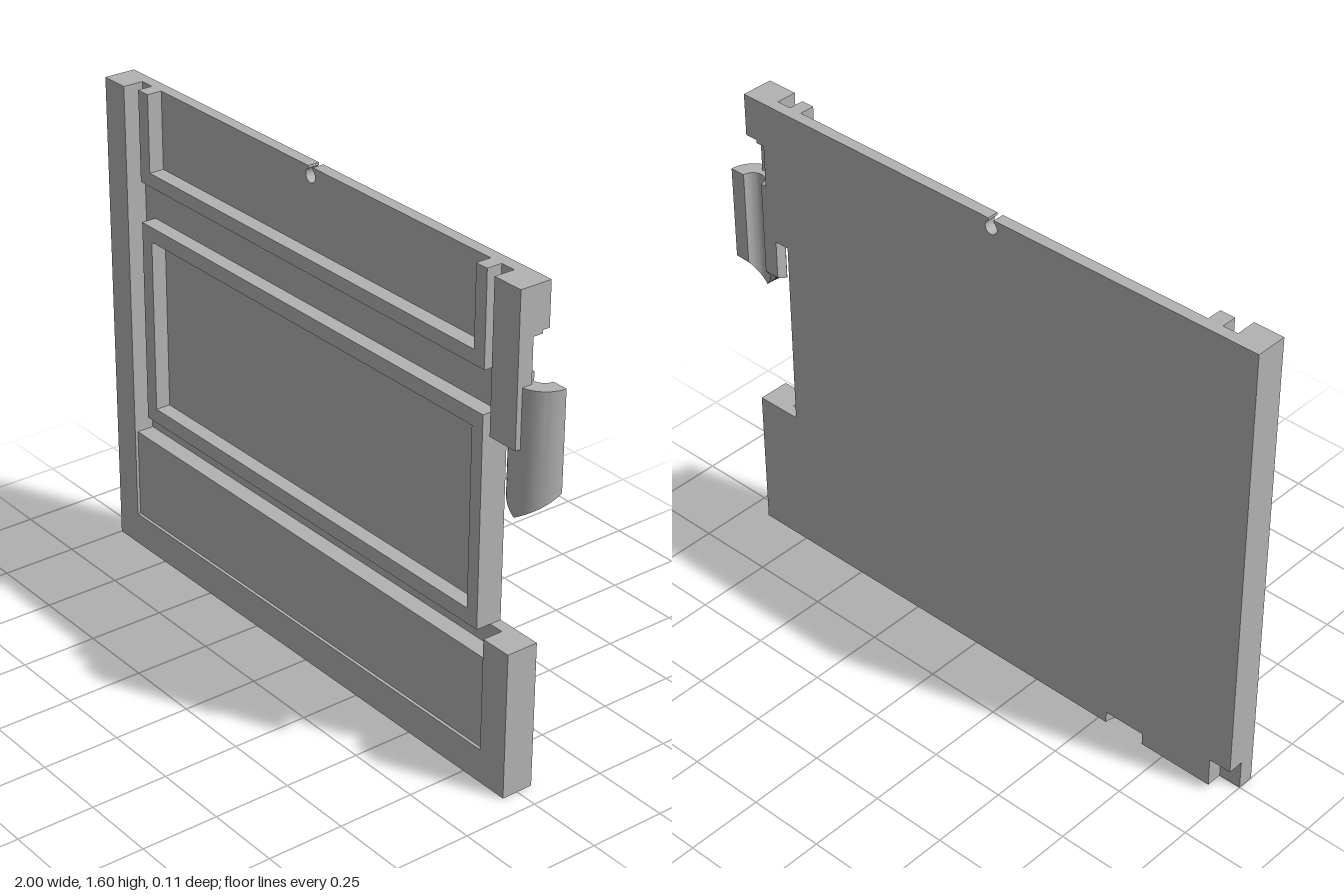
import * as THREE from 'three';
import { toCreasedNormals } from 'three/addons/utils/BufferGeometryUtils.js';

const BACK = -0.053, FLOOR = -0.015, FRONT = 0.053, TOP = 1.595;
const HINGE_X = 0.91;

export function createModel() {
  const model = new THREE.Group();
  model.name = 'panelledDoor';
  const grey = new THREE.MeshStandardMaterial({ color: 0xb2b2b2 });
  grey.name = 'plain grey';

  const add = (name, geometry) => {
    const mesh = new THREE.Mesh(geometry, grey);
    mesh.name = name;
    model.add(mesh);
  };
  const outline = (points) => new THREE.Shape(points.map(([x, y]) => new THREE.Vector2(x, y)));
  const rect = (x0, y0, x1, y1) => [[x0, y0], [x1, y0], [x1, y1], [x0, y1]];

  // Flat layer between two depths
  const layer = (name, points, z0, z1, hole) => {
    const shape = outline(points);
    if (hole) shape.holes.push(outline(hole));
    const g = new THREE.ExtrudeGeometry(shape, { depth: z1 - z0, bevelEnabled: false });
    add(name, g.translate(0, 0, z0));
  };

  // Full-depth block with a round channel of radius r cut into its back
  const channelBlock = (name, x0, x1, y0, y1, cx, r) => {
    const shape = outline([[x0, -FRONT], [x1, -FRONT]]);
    if (x1 - cx > r || r === 0) shape.lineTo(x1, -BACK);
    if (r > 0) shape.absarc(cx, -BACK, r, -Math.acos(Math.min(1, (x1 - cx) / r)), -Math.PI, true);
    shape.lineTo(x0, -BACK);
    const g = new THREE.ExtrudeGeometry(shape, { depth: y1 - y0, bevelEnabled: false, curveSegments: 16 });
    g.rotateX(-Math.PI / 2).translate(0, y0, 0);
    add(name, toCreasedNormals(g, 0.6));
  };

  // Bottom edge with the gap for the round pocket, and the rear corner notch if wanted
  const bottom = (notched) => [
    ...(notched ? [[-1, 0.1], [-0.925, 0.1], [-0.925, 0]] : [[-1, 0]]),
    [-0.7, 0], [-0.7, 0.04], [-0.5, 0.04], [-0.5, 0], [0.925, 0], [0.925, 0.48],
  ];

  // Keyhole in the top edge of the back plate
  const keyhole = [[-0.05, TOP]];
  const a0 = Math.acos(0.01 / 0.022), sweep = Math.PI + 2 * a0;
  for (let i = 0; i <= 16; i++) {
    const a = a0 - sweep * i / 16;
    keyhole.push([-0.06 + 0.022 * Math.cos(a), 1.567 + 0.022 * Math.sin(a)]);
  }
  keyhole.push([-0.07, TOP]);

  // Back plate
  layer('backPlate', [...bottom(true), [0.77, 0.48], [0.77, 1.12], [0.82, 1.12], [0.82, TOP],
    ...keyhole, [-1, TOP]], BACK, FLOOR);

  // Outer frame with the sunken bottom panel
  const frame = (sill) => [[0.82, 0.48], [0.82, sill], [-0.9, sill], [-0.9, TOP], [-1, TOP]];
  layer('frameBack', [...bottom(true), ...frame(0.41)], FLOOR, 0);
  layer('bottomPanel', [...bottom(false), ...frame(0.41)], 0, 0.043);
  layer('frameFront', [...bottom(false), ...frame(0.11)], 0.043, FRONT);
  channelBlock('bottomPocket', -0.7, -0.5, 0, 0.04, -0.6, 0.07);

  // Raised mouldings
  layer('middleMoulding', rect(-0.85, 0.48, 0.77, 1.16), FLOOR, 0.035, rect(-0.8, 0.53, 0.725, 1.11));
  layer('topMoulding', [[-0.85, 1.295], [0.77, 1.295], [0.77, TOP], [0.725, TOP], [0.725, 1.34],
    [-0.8, 1.34], [-0.8, TOP], [-0.85, TOP]], FLOOR, 0.035);

  // Upper right stile, stacked around the hinge channel
  [[1.12, 1.305, 0.038], [1.305, 1.445, 0.058], [1.445, 1.455, 0.028], [1.455, TOP, 0]]
    .forEach(([y0, y1, r]) => channelBlock('hingeStile', 0.82, 0.925, y0, y1, HINGE_X, r));

  // Half-round hinge sleeve with a lower edge that spirals up on both sides
  const pos = [], index = [], steps = 24;
  for (let i = 0; i <= steps; i++) {
    const a = (i / steps - 0.5) * Math.PI;
    const low = 0.905 + 0.085 * Math.abs(a) / (Math.PI / 2);
    for (const [r, y] of [[0.038, low], [0.09, low], [0.09, 1.305], [0.038, 1.305]]) {
      pos.push(HINGE_X + r * Math.sin(a), y, BACK + r * Math.cos(a));
    }
    if (i === steps) break;
    for (let j = 0; j < 4; j++) {
      const p = i * 4 + j, q = i * 4 + (j + 1) % 4;
      index.push(p, p + 4, q + 4, p, q + 4, q);
    }
  }
  const e = steps * 4;
  index.push(0, 1, 2, 0, 2, 3, e, e + 2, e + 1, e, e + 3, e + 2);
  const sleeve = new THREE.BufferGeometry();
  sleeve.setAttribute('position', new THREE.Float32BufferAttribute(pos, 3));
  sleeve.setIndex(index);
  add('hingeSleeve', toCreasedNormals(sleeve, 0.6));

  return model;
}
